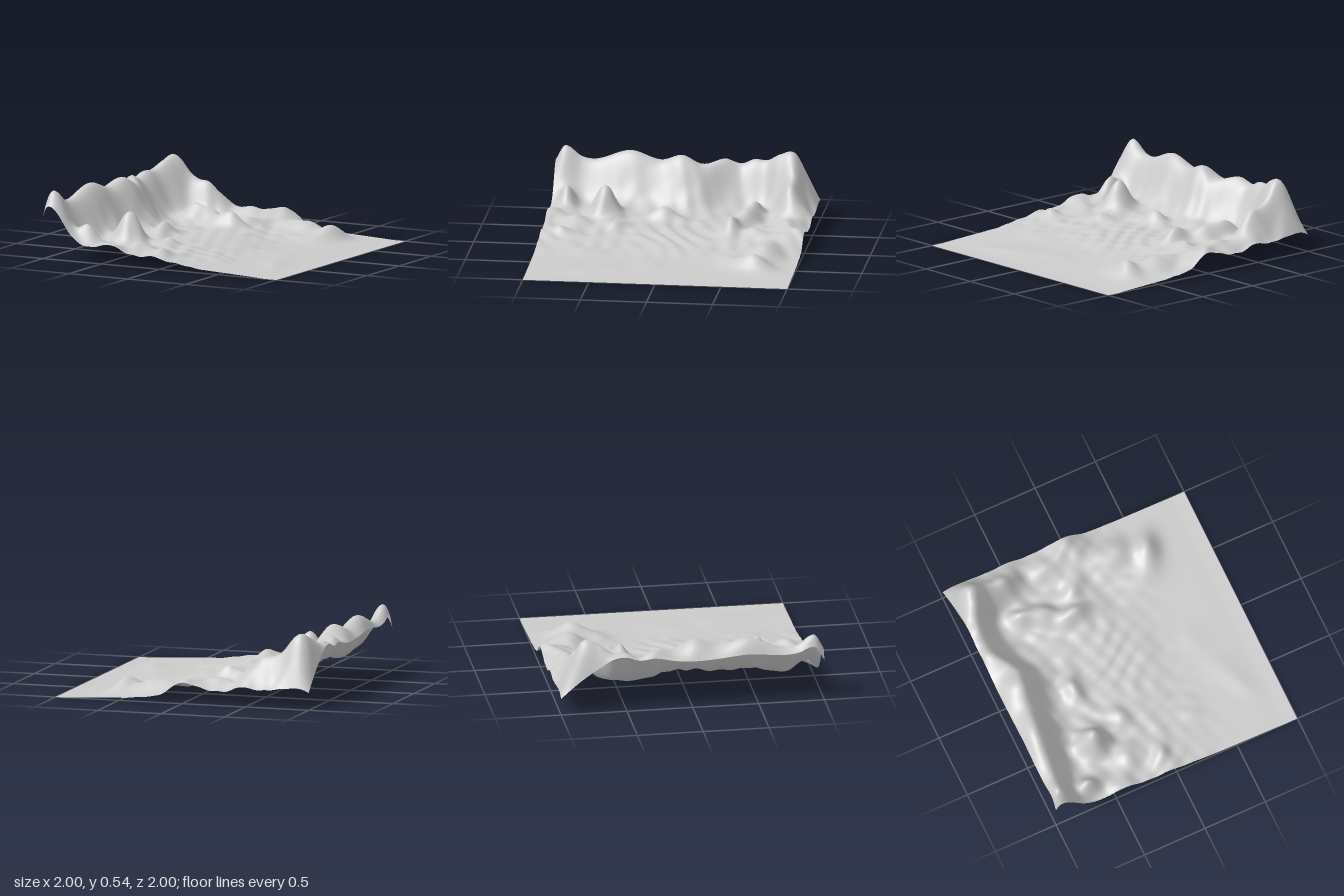
import * as THREE from 'three';

// Smooth interpolation through rows of [position, value, value, ...]
function sample(rows, p, channel) {
  let i = 0;
  while (i < rows.length - 2 && p > rows[i + 1][0]) i++;
  const a = rows[Math.max(0, i - 1)], b = rows[i], c = rows[i + 1], d = rows[Math.min(rows.length - 1, i + 2)];
  const span = c[0] - b[0];
  const t = THREE.MathUtils.clamp((p - b[0]) / span, 0, 1);
  const m0 = (c[channel] - a[channel]) / (c[0] - a[0]) * span;
  const m1 = (d[channel] - b[channel]) / (d[0] - b[0]) * span;
  const t2 = t * t, t3 = t2 * t;
  return (2 * t3 - 3 * t2 + 1) * b[channel] + (t3 - 2 * t2 + t) * m0
    + (3 * t2 - 2 * t3) * c[channel] + (t3 - t2) * m1;
}

// Mountain wall along -x: z, crest height, crest x, height at the x = -1 edge, slope width
const WALL = [
  [-1, 0.16, -0.90, 0.13, 0.20], [-0.92, 0.34, -0.88, 0.20, 0.18],
  [-0.82, 0.53, -0.87, 0.28, 0.19], [-0.70, 0.51, -0.89, 0.36, 0.16],
  [-0.60, 0.45, -0.93, 0.42, 0.14], [-0.50, 0.45, -0.95, 0.43, 0.14],
  [-0.40, 0.41, -0.96, 0.40, 0.16], [-0.28, 0.45, -0.94, 0.41, 0.17],
  [-0.12, 0.42, -0.84, 0.38, 0.17], [0.03, 0.49, -0.85, 0.37, 0.17],
  [0.20, 0.44, -0.88, 0.38, 0.17], [0.43, 0.50, -0.91, 0.40, 0.17],
  [0.68, 0.42, -0.93, 0.38, 0.15], [0.80, 0.43, -0.94, 0.39, 0.14],
  [0.93, 0.51, -0.95, 0.43, 0.15], [1, 0.40, -0.95, 0.32, 0.17],
];

// Valley floor descending to the flat plain: x, height
const FLOOR = [
  [-1, 0.12], [-0.6, 0.105], [-0.3, 0.095], [0, 0.075], [0.2, 0.045],
  [0.4, 0.025], [0.6, 0.015], [0.8, 0.006], [0.9, 0], [1, 0],
];

// Hills: x, z, height, radius x, radius z, turn
const NORTH_RIDGE = [
  [-0.58, -0.82, 0.19, 0.13, 0.10, 0], [-0.48, -0.93, 0.06, 0.14, 0.12, 0],
  [-0.24, -0.84, 0.09, 0.15, 0.10, 0], [-0.01, -0.94, 0.10, 0.14, 0.14, 0],
];
const MIDDLE_RIDGE = [
  [-0.56, -0.56, 0.12, 0.11, 0.07, 0], [-0.40, -0.51, 0.11, 0.10, 0.08, 0],
  [-0.20, -0.42, 0.12, 0.15, 0.07, 0], [-0.10, -0.62, 0.07, 0.08, 0.12, 0.4],
];
const HEADLAND = [
  [0.16, -0.76, 0.055, 0.14, 0.13, 0], [0.33, -0.74, 0.09, 0.13, 0.12, -0.4],
  [0.54, -0.68, 0.11, 0.09, 0.14, 0.4], [0.40, -0.5, 0.03, 0.16, 0.10, 0],
];
const SOUTH_HILLS = [
  [-0.49, 0.57, 0.24, 0.11, 0.10, 0], [-0.68, 0.88, 0.15, 0.11, 0.07, 0],
  [-0.44, 0.96, 0.06, 0.09, 0.10, 0], [-0.45, 0.12, 0.09, 0.08, 0.12, 0],
  [-0.30, 0.76, 0.06, 0.08, 0.08, 0], [-0.06, 0.86, 0.05, 0.07, 0.10, 0],
  [-0.22, 0.46, 0.05, 0.08, 0.09, 0],
];
const DUNES = [
  [0.18, 0.05, 0.015, 0.10, 0.14, 0], [0.30, 0.62, 0.012, 0.08, 0.13, 0],
  [0.66, 0.40, 0.012, 0.10, 0.16, -0.4], [0.55, 0.10, 0.010, 0.11, 0.10, 0],
  [0.74, 0.58, 0.009, 0.07, 0.13, -0.4],
];
const HILLS = [...NORTH_RIDGE, ...MIDDLE_RIDGE, ...HEADLAND, ...SOUTH_HILLS, ...DUNES];

function hillHeight([cx, cz, h, rx, rz, turn], x, z) {
  const dx = x - cx, dz = z - cz, c = Math.cos(turn), s = Math.sin(turn);
  const u = (dx * c + dz * s) / rx, v = (dz * c - dx * s) / rz;
  return h * Math.exp(-u * u - v * v);
}

function height(x, z) {
  const floor = sample(FLOOR, x, 1);
  const [crest, crestX, edge, width] = [1, 2, 3, 4].map(k => sample(WALL, z, k));
  const t = x - crestX;
  // Rounded crest: drops to the edge on one side and to the valley on the other
  let y;
  if (t < 0) y = crest - (crest - edge) * (t / (crestX + 1)) ** 2;
  else y = floor + (crest - floor) * Math.exp(-((t / width) ** 2));
  const onWall = THREE.MathUtils.smoothstep(x, -0.88, -0.68);
  for (const hill of HILLS) y += hillHeight(hill, x, z) * onWall;
  // Fine erosion ripples that fade out toward the plain
  const ripple = Math.sin(17 * x + 5 * Math.sin(6 * z)) * Math.sin(19 * z + 3 * Math.sin(7 * x))
    + 0.5 * Math.sin(37 * x + 11 * z) * Math.sin(31 * z - 13 * x);
  y += ripple * 0.009 * onWall * (1 - THREE.MathUtils.smoothstep(x, -0.1, 0.6));
  return Math.max(0, y);
}

export function createModel() {
  const group = new THREE.Group();
  group.name = 'landscape';

  // One open sheet, displaced upward
  const geometry = new THREE.PlaneGeometry(2, 2, 140, 140);
  geometry.rotateX(-Math.PI / 2);
  const pos = geometry.attributes.position;
  for (let i = 0; i < pos.count; i++) pos.setY(i, height(pos.getX(i), pos.getZ(i)));
  geometry.computeVertexNormals();

  const terrain = new THREE.Mesh(geometry, new THREE.MeshStandardMaterial({ color: 0xcccccc, side: THREE.DoubleSide }));
  terrain.name = 'terrain';
  group.add(terrain);
  return group;
}
